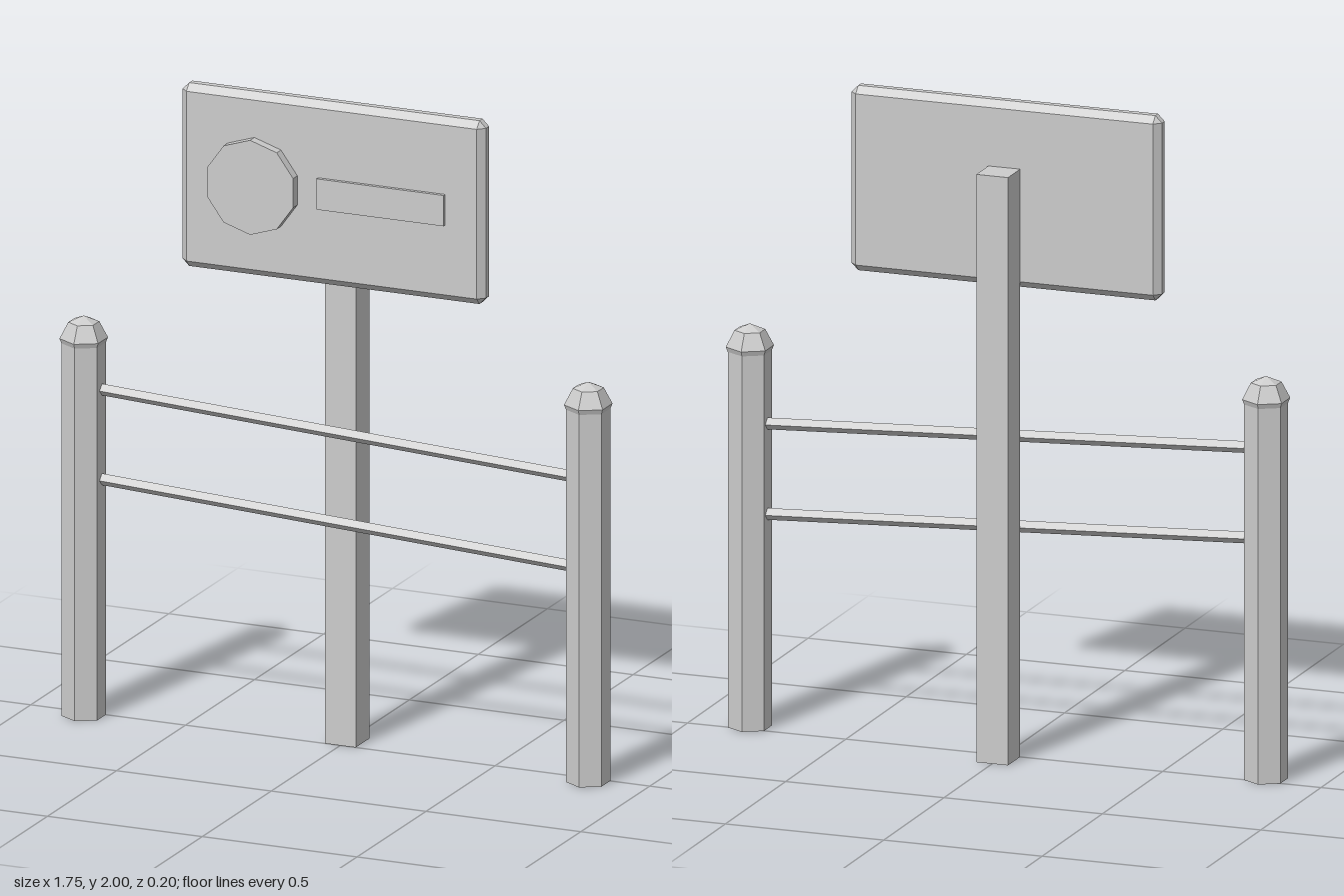
import * as THREE from 'three';
import { ConvexGeometry } from 'three/addons/geometries/ConvexGeometry.js';

const grey = new THREE.MeshStandardMaterial({ color: 0xcccccc });
grey.name = 'light grey';

// Faceted mesh: every face gets its own normal
function part(name, geometry, parent, x = 0, y = 0, z = 0) {
  const g = geometry.index ? geometry.toNonIndexed() : geometry;
  g.computeVertexNormals();
  const mesh = new THREE.Mesh(g, grey);
  mesh.name = name;
  mesh.position.set(x, y, z);
  parent.add(mesh);
  return mesh;
}

// Box with all edges and corners cut at 45 degrees
function chamferedBox(w, h, d, c) {
  const points = [];
  for (const sx of [-1, 1]) for (const sy of [-1, 1]) for (const sz of [-1, 1]) {
    for (let full = 0; full < 3; full++) {
      const half = [w / 2, h / 2, d / 2].map((v, i) => (i === full ? v : v - c));
      points.push(new THREE.Vector3(sx * half[0], sy * half[1], sz * half[2]));
    }
  }
  return new ConvexGeometry(points);
}

export function createModel() {
  const model = new THREE.Group();
  model.name = 'signWithRailing';
  const postX = 0.815, postZ = 0.031;

  // Hexagonal side posts with faceted caps
  const capProfile = [[0.06, 1.145], [0.066, 1.15], [0.072, 1.165], [0.046, 1.215], [0, 1.234]]
    .map(([r, y]) => new THREE.Vector2(r, y));
  for (const side of [-1, 1]) {
    const post = new THREE.Group();
    post.name = side < 0 ? 'rightPost' : 'leftPost';
    post.position.set(side * postX, 0, postZ);
    part('postShaft', new THREE.CylinderGeometry(0.066, 0.066, 1.16, 6), post, 0, 0.58, 0);
    part('postCap', new THREE.LatheGeometry(capProfile, 6), post);
    model.add(post);
  }

  // Sloping square rails set on edge between the posts
  const drop = 0.078, span = 1.53;
  for (const [name, y] of [['upperRail', 0.973], ['lowerRail', 0.696]]) {
    const geometry = new THREE.CylinderGeometry(0.018, 0.018, Math.hypot(span, drop), 4);
    const rail = part(name, geometry, model, 0, y, 0.027);
    rail.rotation.z = Math.PI / 2 - Math.atan2(drop, span);
  }

  // Central square support behind the sign
  part('signPost', new THREE.BoxGeometry(0.1, 1.8, 0.1), model, 0, 0.9, -0.05);

  // Sign board with its raised disc and bar
  part('signBoard', chamferedBox(0.98, 0.566, 0.064, 0.021), model, 0, 1.717, 0.032);
  const disc = new THREE.CylinderGeometry(0.146, 0.146, 0.05, 10).rotateX(Math.PI / 2);
  part('signDisc', disc, model, -0.249, 1.718, 0.07);
  part('signBar', new THREE.BoxGeometry(0.41, 0.095, 0.03), model, 0.162, 1.718, 0.061);

  return model;
}
